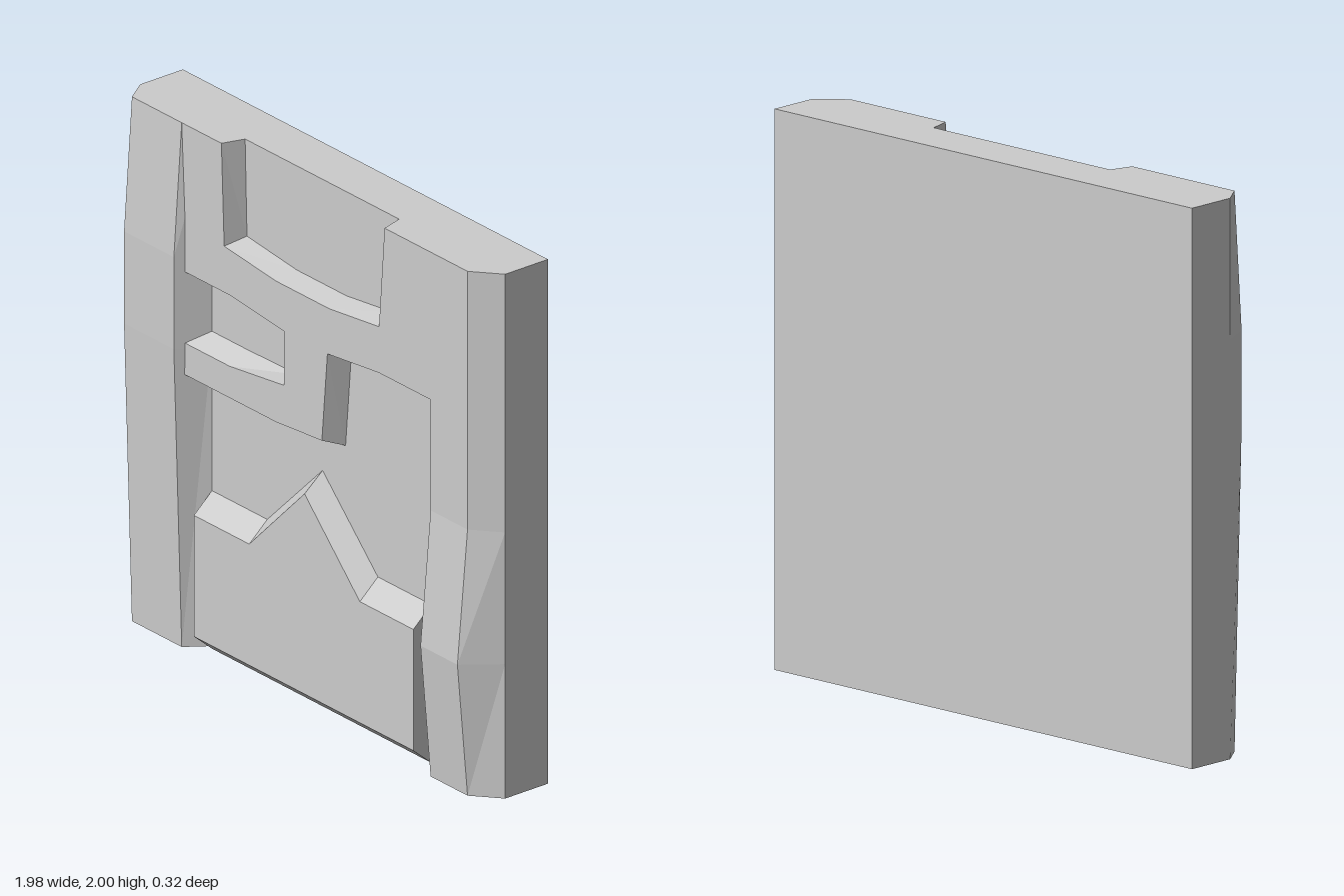
import * as THREE from 'three';

const FLOOR = 0.03, FACE = 0.115;

function flatMesh(name, pos) {
  const geo = new THREE.BufferGeometry();
  geo.setAttribute('position', new THREE.Float32BufferAttribute(pos, 3));
  geo.computeVertexNormals();
  const mesh = new THREE.Mesh(geo, new THREE.MeshStandardMaterial({ color: 0xcccccc, flatShading: true }));
  mesh.name = name;
  return mesh;
}

function quad(pos, a, b, c, d) {
  pos.push(...a, ...b, ...c, ...a, ...c, ...d);
}

// Raised plate with sloping walls: each rim row is [frontX, frontY, footX, footY], counter-clockwise
function relief(name, rim, z) {
  const pos = [];
  const front = rim.map(r => [r[0], r[1], z]);
  const foot = rim.map(r => [r[2], r[3], FLOOR]);
  const outline = rim.map(r => new THREE.Vector2(r[0], r[1]));
  for (const [a, b, c] of THREE.ShapeUtils.triangulateShape(outline, [])) {
    pos.push(...front[a], ...front[b], ...front[c]);
  }
  rim.forEach((_, i) => {
    const j = (i + 1) % rim.length;
    quad(pos, foot[i], foot[j], front[j], front[i]);
  });
  return flatMesh(name, pos);
}

// Vertical side strip: four x positions across, and [y, z] steps of its front face from bottom to top
function strip(name, xs, steps) {
  const pos = [];
  const rows = steps.map(([y, z]) => xs.map((x, i) => [x, y, i === 1 || i === 2 ? z : FLOOR]));
  for (let k = 0; k < rows.length - 1; k++) {
    for (let i = 0; i < 3; i++) {
      quad(pos, rows[k][i], rows[k][i + 1], rows[k + 1][i + 1], rows[k + 1][i]);
    }
  }
  quad(pos, ...rows[rows.length - 1]);
  quad(pos, ...[...rows[0]].reverse());
  return flatMesh(name, pos);
}

export function createModel() {
  const group = new THREE.Group();
  group.name = 'reliefPanel';

  // Backing slab
  const slab = new THREE.Mesh(
    new THREE.BoxGeometry(1.98, 1.99, 0.19),
    new THREE.MeshStandardMaterial({ color: 0xcccccc, flatShading: true })
  );
  slab.position.set(0, 1.005, -0.065);
  slab.name = 'backingSlab';
  group.add(slab);

  // Side strips, each with its own gentle bulge
  group.add(strip('rightStrip', [-0.99, -0.93, -0.66, -0.6],
    [[0.01, FACE], [1.15, 0.15], [1.5, 0.15], [2, FACE]]));
  group.add(strip('leftStrip', [0.59, 0.69, 0.89, 0.99],
    [[0.01, FACE], [0.52, 0.16], [1.02, FACE], [2, FACE]]));

  // Upper plate with the top notch, side pocket and lower bar
  group.add(relief('upperPlate', [
    [-0.66, 1.05, -0.66, 1.015],
    [-0.15, 1.05, -0.14, 1.015],
    [0.1, 1.07, 0.125, 1.035],
    [0.13, 1.41, 0.155, 1.38],
    [0.41, 1.44, 0.41, 1.41],
    [0.69, 1.44, 0.69, 1.41],
    [0.69, 2, 0.69, 2],
    [0.44, 2, 0.415, 2],
    [0.41, 1.615, 0.39, 1.635],
    [0.14, 1.585, 0.13, 1.605],
    [-0.15, 1.585, -0.14, 1.605],
    [-0.43, 1.615, -0.41, 1.635],
    [-0.445, 2, -0.42, 2],
    [-0.66, 2, -0.66, 2],
    [-0.66, 1.44, -0.66, 1.41],
    [-0.4, 1.44, -0.41, 1.41],
    [-0.105, 1.41, -0.135, 1.405],
    [-0.105, 1.205, -0.135, 1.21],
    [-0.4, 1.17, -0.41, 1.205],
    [-0.66, 1.17, -0.66, 1.205]
  ], FACE));

  // Lower plate with the peaked top and bevelled bottom
  group.add(relief('lowerPlate', [
    [-0.6, 0.07, -0.6, 0],
    [0.59, 0.07, 0.59, 0],
    [0.59, 0.53, 0.59, 0.6],
    [0.3, 0.53, 0.3, 0.6],
    [0, 0.83, 0, 0.895],
    [-0.3, 0.53, -0.3, 0.6],
    [-0.6, 0.53, -0.6, 0.6]
  ], 0.11));

  return group;
}
